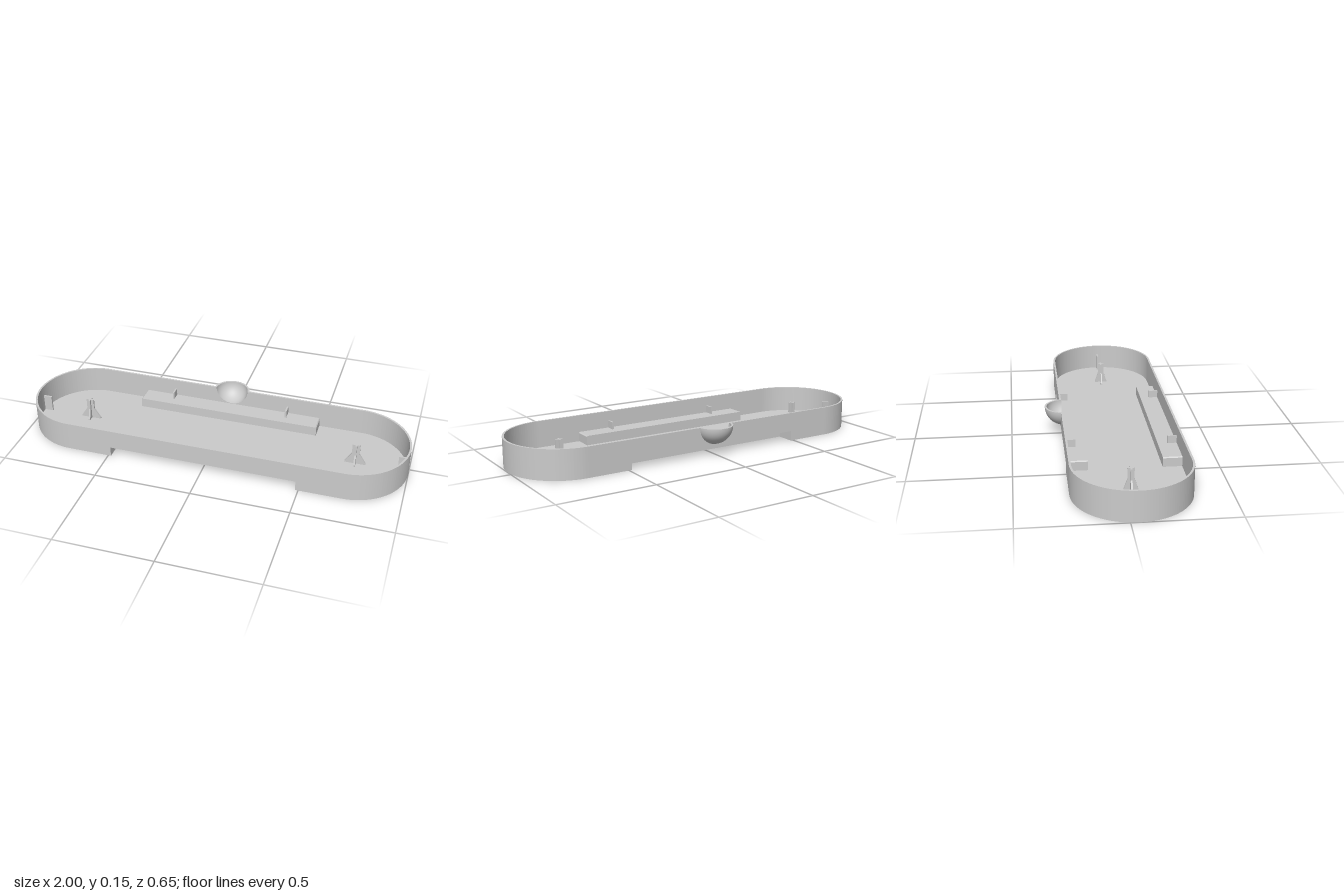
import * as THREE from 'three';

const R = 0.285, HALF = 0.715, T = 0.01, H = 0.152; // end radius, half straight, wall, height
const NX = 0.485, NY = 0.052, NZ = 0.19; // underside recess: half length, height, inner edge
const FLOOR = 0.012;

export function createModel() {
  const model = new THREE.Group();
  const tray = new THREE.Group();
  tray.name = 'tray';
  tray.position.z = 0.04;
  model.add(tray);
  const mat = new THREE.MeshStandardMaterial({ color: 0xcccccc, side: THREE.DoubleSide });

  const add = (name, geo, x = 0, y = 0, z = 0, ry = 0) => {
    const m = new THREE.Mesh(geo, mat);
    m.name = name;
    m.position.set(x, y, z);
    m.rotation.y = ry;
    tray.add(m);
    return m;
  };
  const extrude = (shape, depth, extra = {}) =>
    new THREE.ExtrudeGeometry(shape, { depth, bevelEnabled: false, curveSegments: 32, ...extra });
  const poly = pts => new THREE.Shape(pts.map(p => new THREE.Vector2(...p)));
  const box = (w, h, d) => new THREE.BoxGeometry(w, h, d);

  // Floor with the two long recesses cut out of its sides
  const r = R - 0.004;
  const floor = new THREE.Shape();
  floor.moveTo(-HALF, -r);
  for (const [x, z] of [[-NX, -r], [-NX, -NZ], [NX, -NZ], [NX, -r], [HALF, -r]]) floor.lineTo(x, z);
  floor.absarc(HALF, 0, r, -Math.PI / 2, Math.PI / 2);
  for (const [x, z] of [[NX, r], [NX, NZ], [-NX, NZ], [-NX, r], [-HALF, r]]) floor.lineTo(x, z);
  floor.absarc(-HALF, 0, r, Math.PI / 2, Math.PI * 1.5);
  add('floor', extrude(floor, FLOOR).rotateX(-Math.PI / 2));

  // Half-round end walls
  for (const s of [-1, 1]) {
    const a = s > 0 ? -Math.PI / 2 : Math.PI / 2;
    const arc = new THREE.Shape();
    arc.absarc(s * HALF, 0, R, a, a + Math.PI);
    arc.absarc(s * HALF, 0, R - T, a + Math.PI, a, true);
    add(s > 0 ? 'leftEndWall' : 'rightEndWall', extrude(arc, H).rotateX(-Math.PI / 2));
  }

  // Straight walls; the back one opens into the scoop
  const scoopR = 0.097, scoopZ = 0.268;
  for (const s of [-1, 1]) {
    const wall = new THREE.Shape();
    wall.moveTo(-HALF, 0);
    for (const [x, y] of [[-NX, 0], [-NX, NY], [NX, NY], [NX, 0], [HALF, 0], [HALF, H]]) wall.lineTo(x, y);
    if (s < 0) wall.absarc(0, H, scoopR - T, 0, -Math.PI, true);
    wall.lineTo(-HALF, H);
    add(s > 0 ? 'frontWall' : 'backWall', extrude(wall, T), 0, 0, s > 0 ? R - T : -R);
  }

  // Hollow quarter-sphere scoop and its flat rim
  const a0 = 0.07, steps = 12;
  const profile = [];
  for (let i = 0; i <= steps; i++) {
    const a = a0 + (Math.PI / 2 - a0) * i / steps;
    profile.push([Math.cos(a), Math.sin(a)]);
  }
  for (const [name, rad] of [['scoopOuter', scoopR], ['scoopInner', scoopR - T]]) {
    const pts = profile.map(([c, d]) => new THREE.Vector2(Math.max(0, c * rad), d * rad));
    add(name, new THREE.LatheGeometry(pts, 24, Math.PI / 2, Math.PI).rotateX(-Math.PI / 2), 0, H, -scoopZ);
  }
  const rim = new THREE.Shape();
  rim.absarc(0, 0, scoopR, a0, Math.PI - a0);
  rim.absarc(0, 0, scoopR - T, Math.PI - a0, a0, true);
  add('scoopRim', new THREE.ShapeGeometry(rim, 32).rotateX(-Math.PI / 2), 0, H, -scoopZ);

  // Raised ledges over the recesses, with small locating tabs
  const LX = 0.49, LY = 0.062, c = 0.005;
  for (const s of [-1, 1]) {
    const side = s > 0 ? 'front' : 'back';
    const cover = poly([[-LX, 0], [-NX, 0], [-NX, NY], [NX, NY], [NX, 0], [LX, 0],
      [LX, LY - c], [LX - c, LY], [c - LX, LY], [-LX, LY - c]]);
    add(side + 'LedgeCover', extrude(cover, R - T - NZ + 0.004), 0, 0, s > 0 ? NZ - 0.004 : T - R);
    const face = poly([[-LX, 0], [LX, 0], [LX, LY - c], [LX - c, LY], [c - LX, LY], [-LX, LY - c]]);
    add(side + 'LedgeFace', extrude(face, T), 0, 0, s > 0 ? NZ - T : -NZ);
    for (const x of [-0.32, 0.312])
      add(side + 'LedgeTab', box(0.009, 0.042, 0.05), x, LY + 0.018, s * (R - T - 0.022));
  }

  // Upright tabs at the two ends
  for (const s of [-1, 1])
    add('endTab', box(0.05, 0.088, 0.009), s * (HALF + R - T - 0.02), FLOOR + 0.042, -0.003);

  // Cross-shaped posts with flared feet
  const fin = (foot, arm) => extrude(poly([[-foot, 0], [foot, 0], [foot, 0.008], [arm, 0.06],
    [arm, 0.115], [-arm, 0.115], [-arm, 0.06], [-foot, 0.008]]), 0.009).translate(0, 0, -0.0045);
  for (const x of [-0.715, 0.73]) {
    add('postLongFin', fin(0.054, 0.02), x, FLOOR - 0.002, -0.003);
    add('postCrossFin', fin(0.034, 0.016), x, FLOOR - 0.002, -0.003, Math.PI / 2);
  }
  return model;
}
